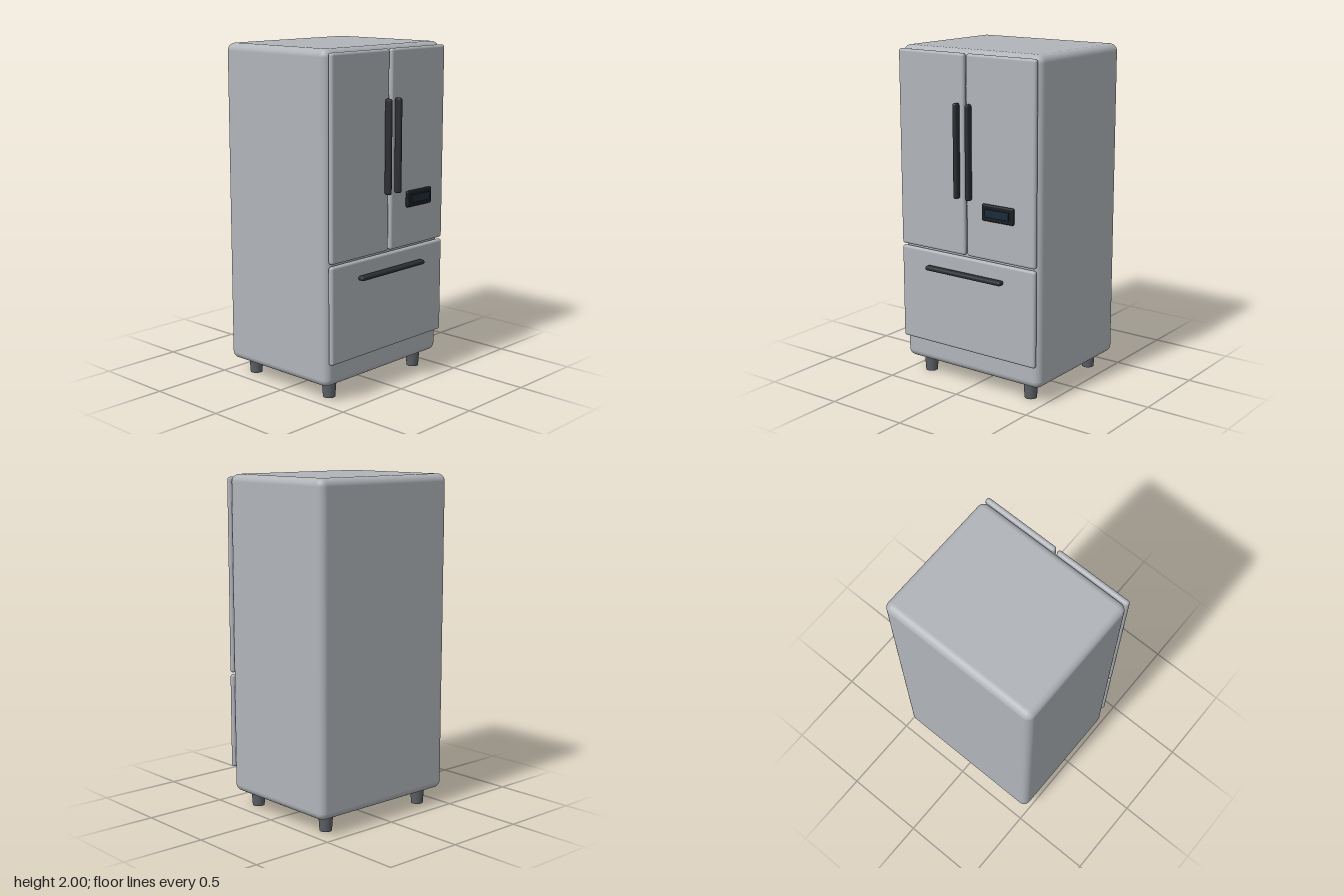
import * as THREE from 'three';
import { RoundedBoxGeometry } from 'three/addons/geometries/RoundedBoxGeometry.js';

const material = (color) => new THREE.MeshStandardMaterial({ color });

export function createModel() {
  const model = new THREE.Group();
  model.name = 'refrigerator';
  const steel = material(0xb0b4b9);
  const dark = material(0x2b2d31);
  const black = material(0x1c1e21);
  const glass = material(0x1b2a3a);
  const footGrey = material(0x5b5f65);

  // Rounded block given by its extents on each axis
  function block(name, [x0, x1], [y0, y1], [z0, z1], radius, mat, segments = 4) {
    const geometry = new RoundedBoxGeometry(x1 - x0, y1 - y0, z1 - z0, segments, radius);
    const mesh = new THREE.Mesh(geometry, mat);
    mesh.position.set((x0 + x1) / 2, (y0 + y1) / 2, (z0 + z1) / 2);
    mesh.name = name;
    model.add(mesh);
  }

  // Cabinet
  block('cabinet', [-0.493, 0.493], [0.095, 2], [-0.446, 0.365], 0.045, steel, 6);

  // Upper doors and their upright handles
  for (const [side, s] of [['left', 1], ['right', -1]]) {
    const span = (a, b) => (s > 0 ? [a, b] : [-b, -a]);
    block(side + 'Door', span(0.007, 0.484), [0.82, 1.982], [0.367, 0.4], 0.016, steel);
    block(side + 'DoorHandle', span(0.029, 0.056), [1.157, 1.706], [0.4, 0.444], 0.0125, dark);
  }

  // Freezer drawer and its handle
  block('drawer', [-0.484, 0.484], [0.236, 0.809], [0.367, 0.4], 0.016, steel);
  block('drawerHandle', [-0.275, 0.275], [0.695, 0.722], [0.4, 0.444], 0.0125, dark);

  // Control panel with a raised display
  block('controlPanel', [0.133, 0.352], [1.055, 1.153], [0.4, 0.422], 0.0105, black);
  const display = new THREE.Mesh(new THREE.BoxGeometry(0.165, 0.046, 0.012), glass);
  display.position.set(0.243, 1.104, 0.423);
  display.name = 'display';
  model.add(display);

  // Tapered feet
  const footGeometry = new THREE.CylinderGeometry(0.043, 0.036, 0.1, 20);
  for (const x of [-0.374, 0.374]) {
    for (const z of [-0.345, 0.272]) {
      const foot = new THREE.Mesh(footGeometry, footGrey);
      foot.position.set(x, 0.05, z);
      foot.name = (x > 0 ? 'left' : 'right') + (z > 0 ? 'Front' : 'Back') + 'Foot';
      model.add(foot);
    }
  }

  return model;
}
